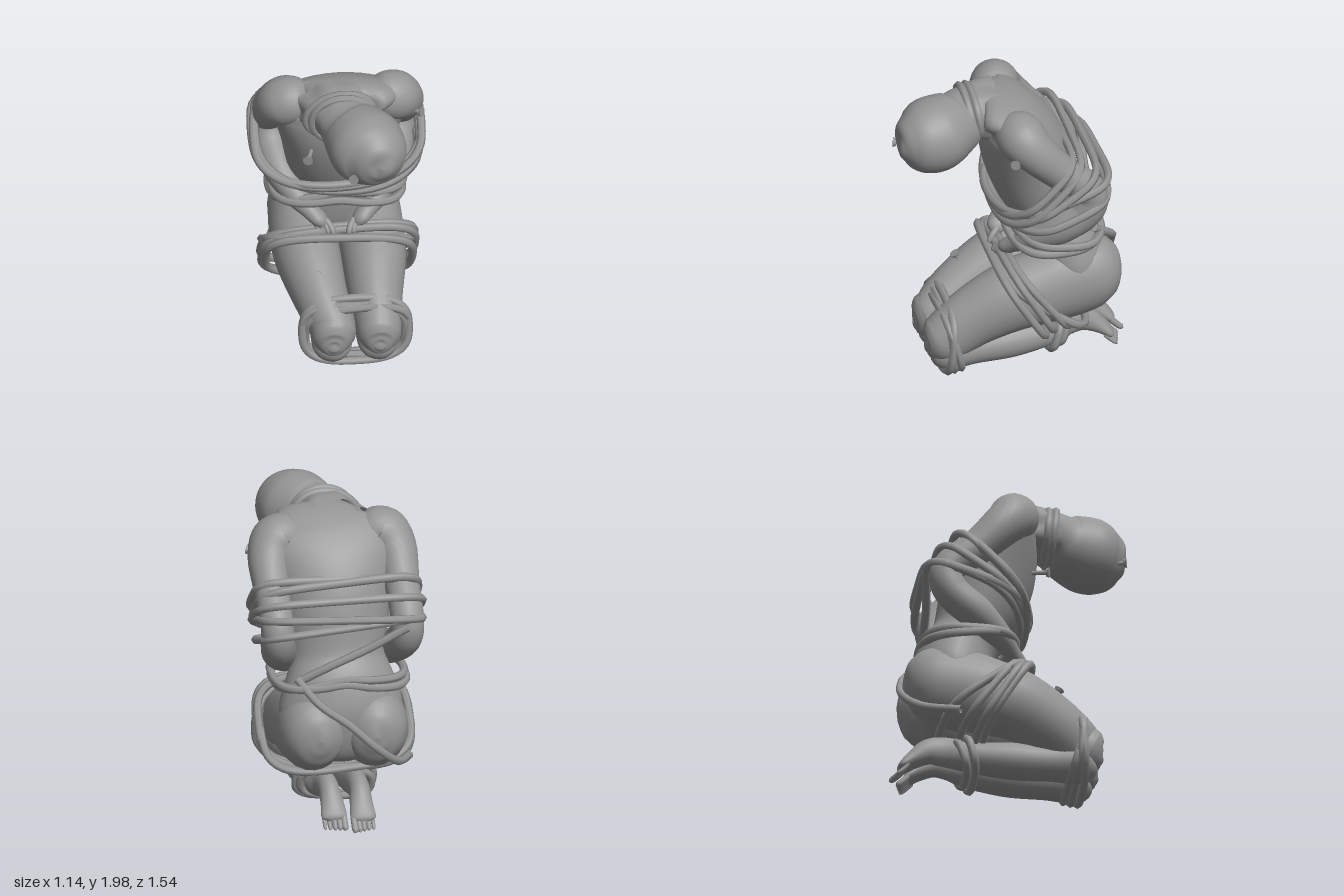
import * as THREE from 'three';

const mat = new THREE.MeshStandardMaterial({ color: 0x959595, side: THREE.DoubleSide });
const V = (a) => new THREE.Vector3(a[0], a[1], a[2]);

// Smooth skin through elliptical sections [x, y, z, halfWidth, halfDepth]
function loft(sections, { ref = [1, 0, 0], steps = 6, sides = 24, ripple = () => 1 } = {}) {
  const path = new THREE.CatmullRomCurve3(sections.map(V), false, 'catmullrom');
  const size = new THREE.CatmullRomCurve3(
    sections.map((s) => new THREE.Vector3(s[3], s[4] ?? s[3], 0)), false, 'catmullrom');
  const rows = (sections.length - 1) * steps;
  const pos = [], idx = [];
  for (let i = 0; i <= rows; i++) {
    const t = i / rows;
    const p = path.getPoint(t), r = size.getPoint(t), T = path.getTangent(t);
    const S = V(ref).addScaledVector(T, -V(ref).dot(T)).normalize();
    const D = new THREE.Vector3().crossVectors(T, S);
    for (let j = 0; j < sides; j++) {
      const a = (j / sides) * Math.PI * 2, k = ripple(a, t);
      const q = p.clone()
        .addScaledVector(S, Math.cos(a) * Math.max(r.x, 0.002) * k)
        .addScaledVector(D, Math.sin(a) * Math.max(r.y, 0.002) * k);
      pos.push(q.x, q.y, q.z);
      if (i < rows) {
        const b = i * sides + j, c = i * sides + ((j + 1) % sides);
        idx.push(b, c, b + sides, c, c + sides, b + sides);
      }
    }
  }
  const g = new THREE.BufferGeometry();
  g.setAttribute('position', new THREE.Float32BufferAttribute(pos, 3));
  g.setIndex(idx);
  g.computeVertexNormals();
  return g;
}

function add(parent, name, geometry) {
  const m = new THREE.Mesh(geometry, mat);
  m.name = name;
  parent.add(m);
  return m;
}

function rope(parent, name, points, closed) {
  const curve = new THREE.CatmullRomCurve3(points, closed, 'centripetal');
  add(parent, name, new THREE.TubeGeometry(curve, 72, 0.027, 6, closed));
}

// Closed rope in a tilted plane: A and B are its two [y, z] extremes, w its half width;
// boxA and boxB set how square each half is (1 = elliptical)
function loop(parent, name, A, B, w, { cx = 0, tilt = 0, sag = 0, boxA = 0.7, boxB = 0.7 } = {}) {
  const pts = [];
  const soft = (v, n) => Math.sign(v) * Math.pow(Math.abs(v), n);
  for (let i = 0; i < 28; i++) {
    const a = (i / 28) * Math.PI * 2, n = i < 14 ? boxA : boxB;
    const c = soft(Math.cos(a), n), k = (1 - soft(Math.sin(a), n)) / 2;
    pts.push(new THREE.Vector3(cx + w * c,
      A[0] + (B[0] - A[0]) * k + tilt * c - sag * Math.abs(c),
      A[1] + (B[1] - A[1]) * k));
  }
  rope(parent, name, pts, true);
}

function nail(parent, at, dir) {
  const g = new THREE.Group();
  g.name = 'nail';
  add(g, 'nailShaft', new THREE.CylinderGeometry(0.014, 0.014, 0.1, 8)).position.y = 0.02;
  add(g, 'nailHead', new THREE.CylinderGeometry(0.034, 0.026, 0.02, 8)).position.y = 0.075;
  g.position.copy(V(at));
  g.quaternion.setFromUnitVectors(new THREE.Vector3(0, 1, 0), V(dir).normalize());
  parent.add(g);
}

export function createModel() {
  const model = new THREE.Group();
  model.name = 'boundKneelingFigure';

  // Torso leaning forward from pelvis to neck
  add(model, 'torso', loft([
    [0, 0.4, -0.4, 0.08, 0.06], [0, 0.52, -0.42, 0.33, 0.18], [0, 0.72, -0.39, 0.4, 0.25],
    [0, 0.9, -0.35, 0.36, 0.25], [0, 1.05, -0.28, 0.31, 0.23], [0, 1.25, -0.2, 0.34, 0.27],
    [0, 1.45, -0.13, 0.375, 0.28], [0, 1.63, -0.06, 0.42, 0.25], [0, 1.76, 0.01, 0.44, 0.19],
    [0, 1.83, 0.08, 0.36, 0.13], [-0.02, 1.835, 0.16, 0.17, 0.11], [0, 1.81, 0.3, 0.1, 0.1],
  ], { sides: 36 }));

  // Hood with a gathered, flared hem
  add(model, 'hood', loft([
    [-0.03, 1.79, 0.09, 0.26, 0.18], [-0.02, 1.8, 0.18, 0.22, 0.18], [0, 1.8, 0.27, 0.18, 0.17],
    [0.05, 1.77, 0.36, 0.21, 0.215], [0.12, 1.75, 0.5, 0.25, 0.245], [0.17, 1.745, 0.61, 0.22, 0.225],
    [0.195, 1.74, 0.7, 0.155, 0.165], [0.205, 1.735, 0.745, 0.085, 0.09], [0.205, 1.735, 0.765, 0.003, 0.003],
  ], { sides: 42, ripple: (a, t) => 1 + 0.07 * Math.sin(7 * a + 1) * Math.max(0, 1 - 3.5 * t) }));
  loop(model, 'neckRope', [1.97, 0.29], [1.61, 0.25], 0.2, { boxA: 1, boxB: 1 });
  loop(model, 'neckRope', [1.965, 0.24], [1.63, 0.21], 0.215, { cx: -0.02, tilt: 0.02, boxA: 1, boxB: 1 });

  for (const s of [1, -1]) {
    const side = s > 0 ? 'left' : 'right';

    // Arm: shoulder back to elbow, then forward to wrist and hand
    add(model, side + 'Arm', loft([
      [s * 0.1, 1.76, 0.02, 0.03], [s * 0.24, 1.775, 0, 0.13], [s * 0.345, 1.77, -0.01, 0.16],
      [s * 0.41, 1.68, -0.09, 0.137], [s * 0.42, 1.52, -0.25, 0.115], [s * 0.42, 1.36, -0.44, 0.107],
      [s * 0.41, 1.21, -0.42, 0.112], [s * 0.365, 1.08, -0.25, 0.11], [s * 0.27, 0.97, -0.09, 0.08],
      [s * 0.19, 0.9, -0.01, 0.058], [s * 0.13, 0.85, 0.03, 0.065, 0.05], [s * 0.1, 0.81, 0.05, 0.03],
    ], { ref: [0, 0, 1] }));
    for (let f = 0; f < 4; f++) {
      const x = s * (0.06 + f * 0.03), z = 0.07 - f * 0.012;
      add(model, side + 'Finger', loft([
        [x + s * 0.03, 0.85, z - 0.03, 0.022], [x, 0.82, z + 0.01, 0.02],
        [x - s * 0.01, 0.785, z + 0.03, 0.018], [x - s * 0.012, 0.77, z + 0.035, 0.003],
      ], { sides: 8, steps: 3 }));
    }

    // Seat and thigh in one skin, knees swung slightly toward +x
    const kx = 0.06 + s * 0.148;
    add(model, side + 'Thigh', loft([
      [s * 0.18, 0.64, -0.705, 0.003], [s * 0.18, 0.64, -0.685, 0.08, 0.1], [s * 0.185, 0.64, -0.63, 0.165, 0.19],
      [s * 0.195, 0.635, -0.52, 0.215, 0.255], [s * 0.205, 0.61, -0.35, 0.22, 0.275],
      [s * 0.215, 0.57, -0.17, 0.215, 0.255], [0.01 + s * 0.205, 0.52, 0.03, 0.207, 0.235],
      [0.03 + s * 0.175, 0.41, 0.26, 0.175, 0.205], [kx, 0.3, 0.43, 0.15, 0.18],
      [kx, 0.26, 0.51, 0.135, 0.155], [kx, 0.24, 0.56, 0.095, 0.11], [kx, 0.235, 0.583, 0.05, 0.055],
      [kx, 0.235, 0.59, 0.003],
    ]));

    // Shin folded back to the ankle, continuing into the foot
    const dz = s > 0 ? 0.05 : 0;
    add(model, side + 'Shin', loft([
      [kx, 0.21, 0.55, 0.02], [kx, 0.185, 0.47, 0.125], [0.04 + s * 0.14, 0.17, 0.25, 0.115],
      [0.03 + s * 0.13, 0.175, 0, 0.12], [0.02 + s * 0.115, 0.19, -0.25, 0.1],
      [0.01 + s * 0.1, 0.22, -0.42 + dz, 0.07, 0.1], [s * 0.095, 0.215, -0.53 + dz, 0.067, 0.085],
      [s * 0.09, 0.155, -0.63 + dz, 0.075, 0.055], [s * 0.09, 0.095, -0.7 + dz, 0.08, 0.032],
      [s * 0.09, 0.075, -0.72 + dz, 0.03, 0.01],
    ]));
    for (let t = 0; t < 5; t++) {
      const x = s * (0.028 + t * 0.031), r = 0.021 - t * 0.002, z = -0.69 + t * 0.008 + dz;
      add(model, side + 'Toe', loft([
        [x, 0.1, z, r], [x, 0.06, z - 0.04, r], [x, 0.035, z - 0.07, r * 0.9], [x, 0.025, z - 0.085, 0.002],
      ], { sides: 8, steps: 3 }));
    }
  }

  // Ropes round arms and chest: [front y, z], [back y, z], half width, sideways tilt
  for (const [A, B, w, tilt] of [
    [[1.11, 0.1], [1.6, -0.4], 0.525, -0.03], [[1.15, 0.11], [1.6, -0.34], 0.535, 0.02],
    [[1.18, 0.12], [1.42, -0.585], 0.53, 0.03], [[1.1, 0.06], [1.36, -0.58], 0.525, -0.04],
    [[1.13, 0.08], [1.52, -0.5], 0.54, 0],
  ]) loop(model, 'chestRope', A, B, w, { tilt, boxA: 0.9, boxB: 0.4 });

  // Ropes round wrists and waist
  loop(model, 'wristRope', [0.99, 0.03], [1.0, -0.57], 0.42, { tilt: -0.02, sag: 0.06 });
  loop(model, 'wristRope', [1.03, 0], [0.97, -0.58], 0.43, { tilt: 0.02, sag: 0.06 });

  // Ropes round both thighs
  for (const [A, B, w, tilt] of [
    [[0.79, 0.07], [0.28, -0.24], 0.49, 0.02], [[0.76, 0.12], [0.27, -0.19], 0.47, -0.02],
    [[0.79, 0.03], [0.3, -0.34], 0.49, 0.02], [[0.75, 0.1], [0.34, -0.46], 0.48, -0.03],
  ]) loop(model, 'thighRope', A, B, w, { tilt, boxA: 0.6, boxB: 0.6 });

  // Ropes round the shins and the knees
  loop(model, 'shinRope', [0.31, -0.3], [0.07, -0.23], 0.25, { cx: 0.02 });
  loop(model, 'shinRope', [0.3, -0.36], [0.08, -0.28], 0.23, { cx: 0.02, tilt: 0.02 });
  loop(model, 'kneeRope', [0.51, 0.43], [0.045, 0.47], 0.34, { cx: 0.06 });
  loop(model, 'kneeRope', [0.47, 0.46], [0.06, 0.42], 0.33, { cx: 0.05, tilt: -0.02 });
  loop(model, 'kneeRope', [0.46, 0.48], [0.05, 0.37], 0.33, { cx: 0.07, tilt: 0.02 });

  // Loose diagonal ropes over the hips and lower back
  rope(model, 'hipRope', [[0.3, 1, -0.5], [0.18, 0.87, -0.64], [0, 0.74, -0.69], [-0.17, 0.58, -0.71],
    [-0.33, 0.43, -0.6], [-0.45, 0.36, -0.36]].map(V), false);
  rope(model, 'backRope', [[0.3, 0.98, -0.5], [0.1, 1.09, -0.54], [-0.15, 1.2, -0.55], [-0.4, 1.34, -0.58]].map(V), false);

  // Nails
  nail(model, [0.04, 1.66, 0.67], [-0.25, 0.05, 1]);
  nail(model, [-0.2, 1.46, 0.15], [-0.3, -0.05, 1]);
  nail(model, [0.45, 1.67, 0.03], [0.8, 0.1, 0.5]);
  nail(model, [-0.15, 0.6, 0.26], [0, 0.8, 0.5]);

  return model;
}
